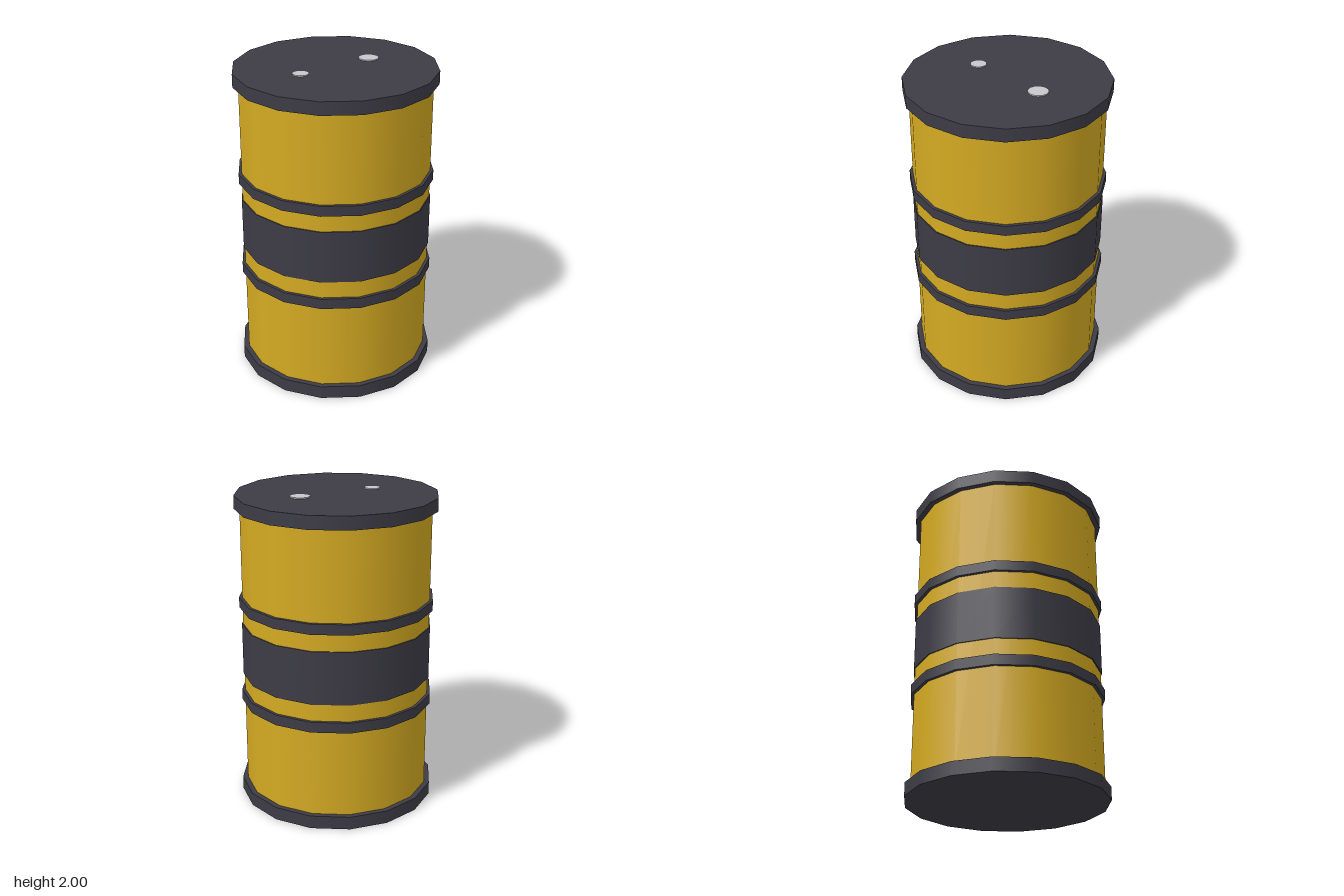
import * as THREE from 'three';

export function createModel() {
  const model = new THREE.Group();
  const yellow = new THREE.MeshStandardMaterial({ name: 'yellowPaint', color: 0xd4aa22 });
  const dark = new THREE.MeshStandardMaterial({ name: 'darkMetal', color: 0x3d3c46 });
  const silver = new THREE.MeshStandardMaterial({ name: 'silverCap', color: 0xc8c8cc });

  // Upright cylinder between two heights
  function drum(name, radius, y0, y1, material, x = 0, sides = 16) {
    const geometry = new THREE.CylinderGeometry(radius, radius, y1 - y0, sides);
    const mesh = new THREE.Mesh(geometry, material);
    mesh.name = name;
    mesh.position.set(x, (y0 + y1) / 2, 0);
    model.add(mesh);
  }

  // Barrel wall and central painted band
  drum('body', 0.598, 0.02, 1.97, yellow);
  drum('centreBand', 0.605, 0.83, 1.17, dark);

  // End rims
  drum('bottomRim', 0.632, 0, 0.085, dark);
  drum('topRim', 0.632, 1.91, 1.993, dark);

  // Rolling hoops
  drum('lowerHoop', 0.618, 0.652, 0.72, dark);
  drum('upperHoop', 0.618, 1.28, 1.346, dark);

  // Filler and vent caps on the lid
  drum('fillerCap', 0.063, 1.985, 2, silver, 0.255);
  drum('ventCap', 0.05, 1.985, 2, silver, -0.257);

  return model;
}
